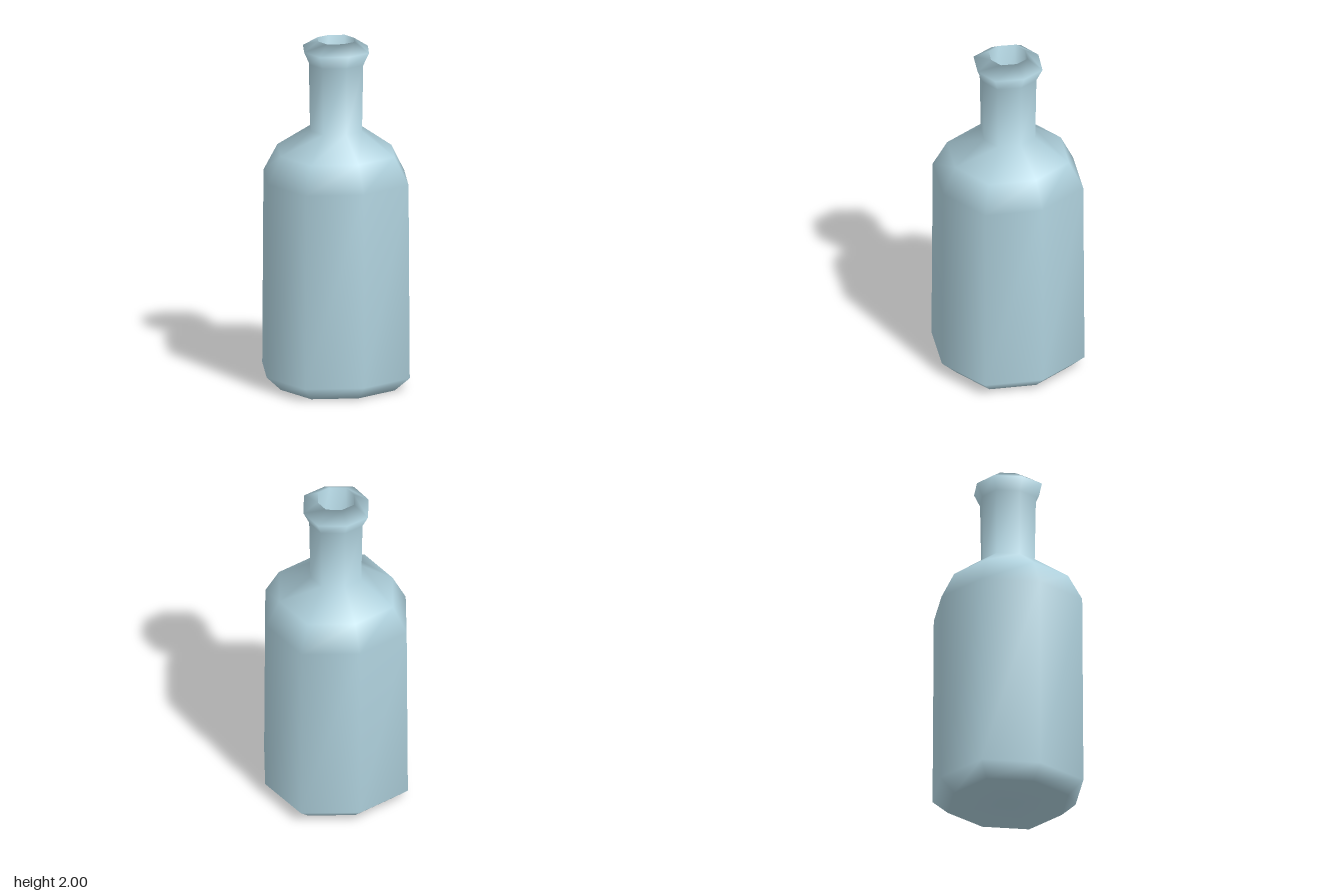
import * as THREE from 'three';

const SIDES = 8;

// Skin a list of octagonal rings [radius, y, twist of the diagonal corners in degrees];
// a ring of radius 0 closes the surface at a point.
function skinRings(rings) {
  const positions = [], index = [], starts = [];
  for (const [radius, y, twist] of rings) {
    starts.push(positions.length / 3);
    const count = radius === 0 ? 1 : SIDES;
    for (let i = 0; i < count; i++) {
      const diagonal = i % 2 === 1;
      const angle = (i * 45 + (diagonal ? twist : 0)) * Math.PI / 180;
      const r = radius * (diagonal ? 1.068 : 1);
      positions.push(r * Math.cos(angle), y, r * Math.sin(angle));
    }
  }
  const at = (ring, i) => starts[ring] + (rings[ring][0] === 0 ? 0 : i % SIDES);
  for (let k = 0; k < rings.length - 1; k++) {
    for (let i = 0; i < SIDES; i++) {
      const a = at(k, i), b = at(k + 1, i), c = at(k, i + 1), d = at(k + 1, i + 1);
      if (a !== c) index.push(a, b, c);
      if (b !== d) index.push(c, b, d);
    }
  }
  const geometry = new THREE.BufferGeometry();
  geometry.setAttribute('position', new THREE.Float32BufferAttribute(positions, 3));
  geometry.setIndex(index);
  geometry.computeVertexNormals();
  return geometry;
}

export function createModel() {
  const glass = new THREE.MeshStandardMaterial({ color: 0xb0d2de });
  glass.name = 'paleBlueGlass';

  const bottle = new THREE.Mesh(skinRings([
    // base and body
    [0, 0, 0],
    [0.335, 0, 0],
    [0.42, 0.08, 0],
    [0.413, 1.2, 0],
    // shoulder
    [0.335, 1.355, 0.5],
    [0.152, 1.485, 3.2],
    // neck and lip
    [0.159, 1.87, 3.2],
    [0.193, 1.945, 3.2],
    [0.108, 2, 3.2],
    // hollow mouth
    [0.108, 1.6, 3.2],
    [0, 1.6, 0],
  ]), glass);
  bottle.name = 'bottle';

  const group = new THREE.Group();
  group.name = 'glassBottle';
  group.add(bottle);
  return group;
}
